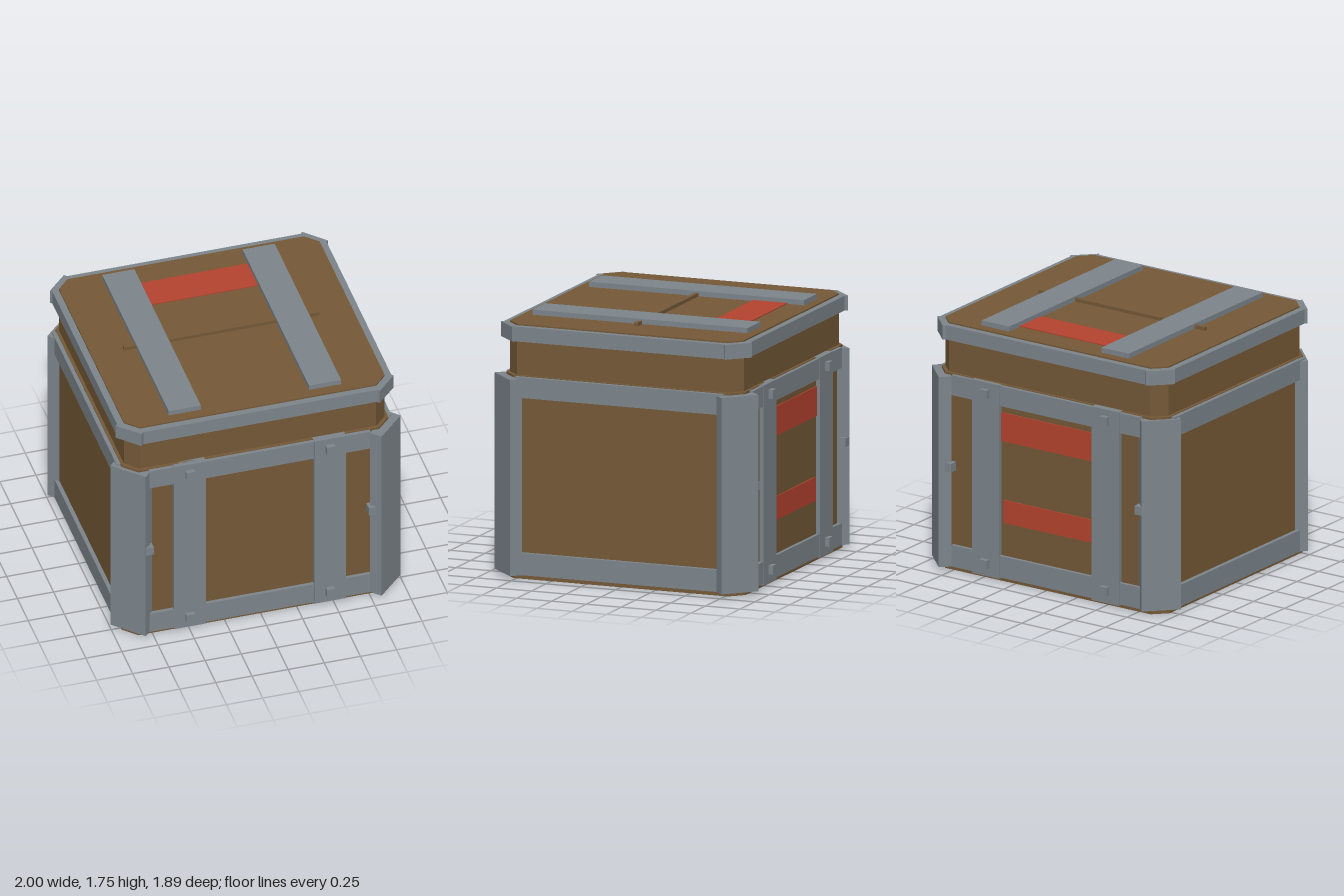
import * as THREE from 'three';

export function createModel() {
  const model = new THREE.Group();
  model.name = 'crate';
  const flat = (name, color) => {
    const m = new THREE.MeshStandardMaterial({ color });
    m.name = name;
    return m;
  };
  const wood = flat('brown wood', 0x755937);
  const steel = flat('grey steel', 0x7d868c);
  const red = flat('red paint', 0xb5432f);
  const CX = -0.0125; // the body sits slightly off the post centre line

  const add = (name, geometry, material, x = 0, y = 0, z = 0, turn = 0) => {
    const mesh = new THREE.Mesh(geometry, material);
    mesh.name = name;
    mesh.position.set(x, y, z);
    mesh.rotation.y = turn;
    model.add(mesh);
    return mesh;
  };
  // box given by its limits on each axis
  const block = (name, material, x0, x1, y0, y1, z0, z1) =>
    add(name, new THREE.BoxGeometry(x1 - x0, y1 - y0, z1 - z0), material,
      (x0 + x1) / 2, (y0 + y1) / 2, (z0 + z1) / 2);

  // box with its four upright corners cut off
  const cutBox = (name, hx, hz, cut, y0, y1) => {
    const shape = new THREE.Shape([
      [hx, -hz + cut], [hx, hz - cut], [hx - cut, hz], [-hx + cut, hz],
      [-hx, hz - cut], [-hx, -hz + cut], [-hx + cut, -hz], [hx - cut, -hz],
    ].map(([x, y]) => new THREE.Vector2(x, y)));
    const geometry = new THREE.ExtrudeGeometry(shape, { depth: y1 - y0, bevelEnabled: false });
    geometry.rotateX(-Math.PI / 2);
    add(name, geometry, wood, CX, y0, 0);
  };
  cutBox('body', 0.922, 0.86, 0.09, 0, 1.375);
  cutBox('lid', 0.902, 0.84, 0.085, 1.37, 1.72);

  // corner posts and lid rim corners
  for (const sx of [-1, 1]) {
    for (const sz of [-1, 1]) {
      const turn = Math.atan2(sx, sz);
      const post = sx > 0 ? [0.874, 0.822] : [-0.876, 0.797];
      add('cornerPost', new THREE.BoxGeometry(0.265, 1.33, 0.087), steel,
        post[0], 0.695, sz * post[1], turn);
      add('rimCorner', new THREE.BoxGeometry(0.195, 0.1, 0.055), steel,
        CX + sx * 0.873, 1.66, sz * 0.814, turn);
    }
  }

  // lid rim sides
  for (const s of [-1, 1]) {
    add('rimSide', new THREE.BoxGeometry(0.05, 0.1, 1.54), steel, CX + s * 0.923, 1.66, 0);
    add('rimEnd', new THREE.BoxGeometry(1.64, 0.1, 0.05), steel, CX, 1.66, s * 0.86);
  }

  // horizontal bands around the body
  for (const [y0, y1] of [[0.03, 0.18], [1.23, 1.37]]) {
    for (const s of [-1, 1]) {
      add('sideBand', new THREE.BoxGeometry(0.05, y1 - y0, 1.5), steel,
        CX + s * 0.925, (y0 + y1) / 2, 0);
      add('endBand', new THREE.BoxGeometry(1.53, y1 - y0, 0.05), steel,
        CX, (y0 + y1) / 2, s * 0.86);
    }
  }

  // straps on front, back and lid, with square bolts
  const bolt = new THREE.BoxGeometry(0.06, 0.06, 0.06);
  for (const side of [-1, 1]) {
    const x = CX + side * 0.485;
    block('lidStrap', steel, x - 0.111, x + 0.111, 1.7, 1.755, -0.775, 0.77);
    for (const s of [-1, 1]) {
      add('strap', new THREE.BoxGeometry(0.22, 1.355, 0.05), steel, x, 0.6975, s * 0.865);
      for (const y of [0.11, 1.3]) add('strapBolt', bolt, steel, x - 0.002, y, s * 0.892);
      add('postBolt', bolt, steel, CX + side * 0.773, 0.73, s * 0.89);
    }
  }

  // raised bar across the lid
  block('lidBar', wood, -0.69, 0.66, 1.7, 1.743, -0.018, 0.01);

  // red markings on the lid and back
  block('lidMarking', red, -0.39, 0.36, 1.719, 1.727, -0.655, -0.41);
  block('upperBackMarking', red, -0.39, 0.36, 0.98, 1.18, -0.868, -0.859);
  block('lowerBackMarking', red, -0.365, 0.34, 0.41, 0.57, -0.868, -0.859);

  return model;
}
